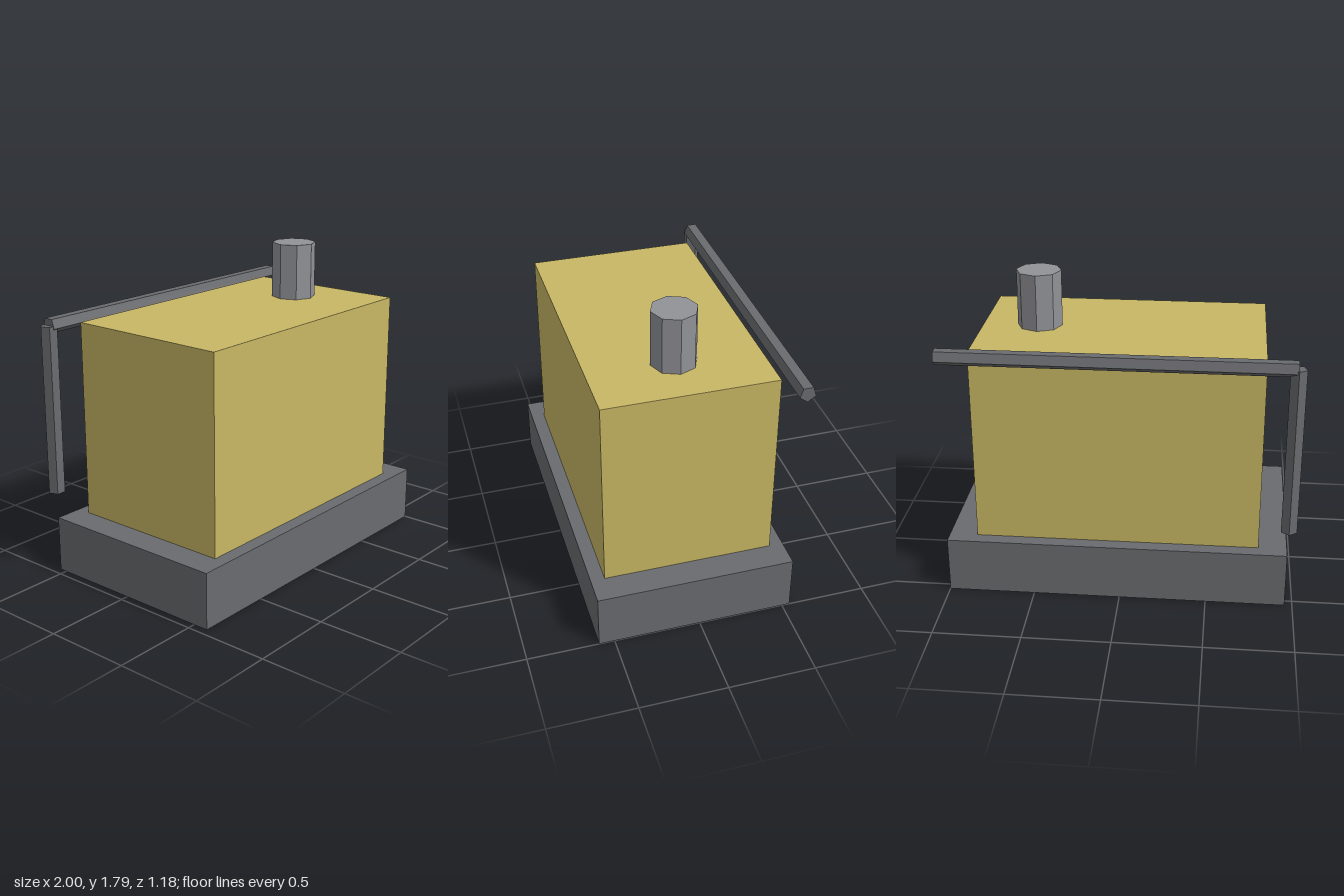
import * as THREE from 'three';

const material = (name, color) => {
  const m = new THREE.MeshStandardMaterial({ color });
  m.name = name;
  return m;
};

export function createModel() {
  const group = new THREE.Group();
  const darkGrey = material('dark grey', 0x6a6b6f);
  const lightGrey = material('light grey', 0x919297);
  const yellow = material('sandy yellow', 0xc8b764);

  const add = (name, geometry, mat, x, y, z) => {
    const mesh = new THREE.Mesh(geometry, mat);
    mesh.name = name;
    mesh.position.set(x, y, z);
    group.add(mesh);
  };

  // Faceted prism with hard edges between its sides
  const prism = (radius, length, sides, start = 0) =>
    new THREE.CylinderGeometry(radius, radius, length, sides, 1, false, start).toNonIndexed();
  const faceted = (geometry) => {
    geometry.computeVertexNormals();
    return geometry;
  };

  // Plinth and housing
  add('base', new THREE.BoxGeometry(1.955, 0.327, 1.135), darkGrey, 0.022, 0.1635, 0.022);
  add('housing', new THREE.BoxGeometry(1.63, 1.14, 0.975), yellow, 0.022, 0.897, 0.022);

  // Octagonal exhaust stack
  add('exhaustStack', faceted(prism(0.13, 0.33, 8)), lightGrey, 0.51, 1.63, 0.022);

  // Five-sided pipes behind the housing
  add('horizontalPipe', faceted(prism(0.047, 1.955, 5).rotateX(Math.PI / 2).rotateY(Math.PI / 2)),
    darkGrey, 0.022, 1.467, -0.546);
  add('verticalPipe', faceted(prism(0.047, 0.977, 5, Math.PI)), darkGrey, -0.955, 0.978, -0.546);

  return group;
}
